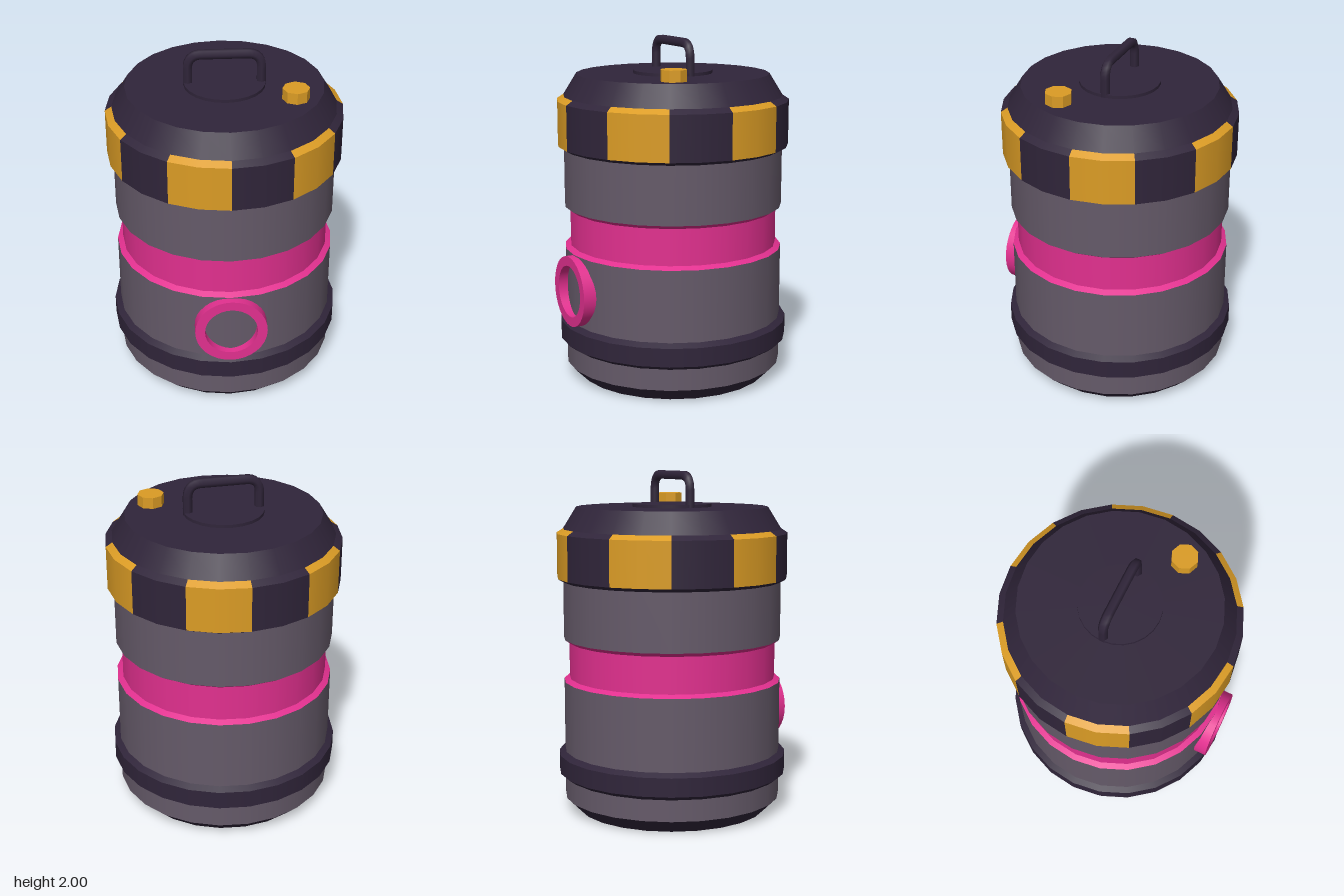
import * as THREE from 'three';
import { mergeGeometries } from 'three/addons/utils/BufferGeometryUtils.js';

const mat = (name, color) => Object.assign(new THREE.MeshStandardMaterial({ color }), { name });

// Turned surface: round around the axis, hard edges between profile segments
function turned(points, sides = 24, start = 0, sweep = Math.PI * 2) {
  const parts = [];
  for (let i = 0; i < points.length - 1; i++) {
    const pair = [points[i], points[i + 1]].map(([r, y]) => new THREE.Vector2(r, y));
    parts.push(new THREE.LatheGeometry(pair, sides, start, sweep));
  }
  return mergeGeometries(parts);
}

export function createModel() {
  const model = new THREE.Group();
  model.name = 'canister';
  const dark = mat('dark plum', 0x30253a);
  const grey = mat('warm grey', 0x655a69);
  const pink = mat('hot pink', 0xe2308f);
  const amber = mat('amber', 0xdb9c25);

  const add = (name, geometry, material, x = 0, y = 0, z = 0) => {
    const mesh = new THREE.Mesh(geometry, material);
    mesh.name = name;
    mesh.position.set(x, y, z);
    model.add(mesh);
    return mesh;
  };

  // Body, from the foot upwards
  add('foot', turned([[0, 0], [0.56, 0], [0.64, 0.08]]), dark);
  add('lowerBody', turned([[0.64, 0.08], [0.64, 0.205]]), grey);
  add('bumperRing', turned([[0.64, 0.205], [0.675, 0.23], [0.675, 0.338], [0.64, 0.36]]), dark);
  add('middleBody', turned([[0.64, 0.36], [0.64, 0.775]]), grey);
  add('waistBand', turned([[0.64, 0.775], [0.608, 0.793], [0.608, 1.003], [0.64, 1.025]]), pink);
  add('upperBody', turned([[0.64, 1.025], [0.64, 1.36]]), grey);

  // Lid: lower lip, band of alternating panels, sloped top
  add('lidLip', turned([[0.64, 1.36], [0.675, 1.38]]), dark);
  const panel = [[0.675, 1.38], [0.675, 1.64], [0.637, 1.665]];
  for (let i = 0; i < 12; i++) {
    const striped = i % 2 === 1;
    add(striped ? 'hazardPanel' : 'lidPanel',
      turned(panel, 2, i * Math.PI / 6, Math.PI / 6), striped ? amber : dark);
  }
  add('lidTop', turned([[0.637, 1.665], [0.56, 1.79], [0, 1.79]]), dark);

  // Carrying handle on its round plate
  add('handlePlate', turned([[0.23, 1.785], [0.23, 1.808], [0, 1.808]]), dark);
  const v = (x, y) => new THREE.Vector3(x, y, 0);
  const path = new THREE.CurvePath();
  path.add(new THREE.LineCurve3(v(-0.206, 1.79), v(-0.206, 1.9)));
  path.add(new THREE.QuadraticBezierCurve3(v(-0.206, 1.9), v(-0.2, 1.973), v(-0.13, 1.973)));
  path.add(new THREE.LineCurve3(v(-0.13, 1.973), v(0.13, 1.973)));
  path.add(new THREE.QuadraticBezierCurve3(v(0.13, 1.973), v(0.2, 1.973), v(0.206, 1.9)));
  path.add(new THREE.LineCurve3(v(0.206, 1.9), v(0.206, 1.79)));
  add('handle', new THREE.TubeGeometry(path, 36, 0.028, 6), dark);

  // Eight-sided valve cap
  const cap = new THREE.CylinderGeometry(0.076, 0.076, 0.07, 8).toNonIndexed();
  cap.computeVertexNormals();
  add('valveCap', cap, amber, 0.38, 1.82, 0.2);

  // Round gauge rim on the front
  const rim = turned([[0.206, 0], [0.206, 0.1], [0.15, 0.1], [0.15, 0]], 32);
  add('gaugeRim', rim, pink, 0, 0.565, 0.577).rotation.x = Math.PI / 2;

  return model;
}
